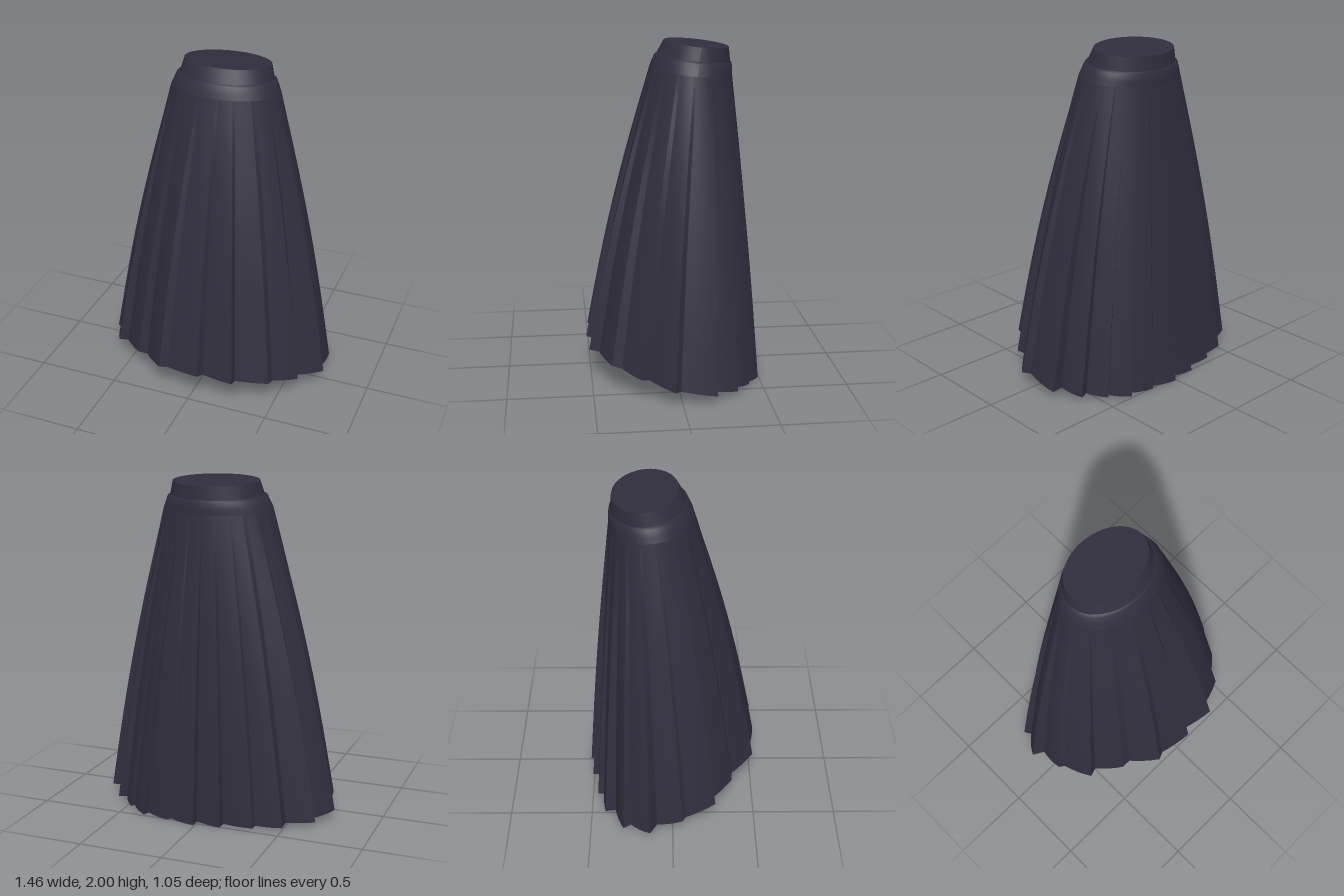
import * as THREE from 'three';

// Hem of each knife pleat seen from above: outer edge x, z then inner edge x, z
const PLEATS = [
  [0.01, -0.53, 0.165, -0.49], [0.185, -0.51, 0.325, -0.463], [0.342, -0.494, 0.445, -0.404],
  [0.463, -0.42, 0.54, -0.315], [0.588, -0.333, 0.625, -0.192], [0.694, -0.2, 0.69, 0.012],
  [0.727, 0.047, 0.596, 0.18], [0.616, 0.228, 0.488, 0.333], [0.48, 0.39, 0.29, 0.455],
  [0.29, 0.515, 0.09, 0.475], [0.072, 0.524, -0.133, 0.486], [-0.184, 0.508, -0.325, 0.369],
  [-0.384, 0.369, -0.518, 0.24], [-0.572, 0.26, -0.643, 0.08], [-0.675, 0.057, -0.67, -0.095],
  [-0.737, -0.137, -0.643, -0.255], [-0.667, -0.3, -0.502, -0.353], [-0.502, -0.415, -0.341, -0.431],
  [-0.337, -0.467, -0.155, -0.463], [-0.149, -0.51, 0.005, -0.48],
];

// Waist rings from the top down: height, x radius, z radius, z centre
const BAND = [[2.0, 0.26, 0.19, -0.152], [1.92, 0.28, 0.215, -0.135]];
const YOKE = [[1.92, 0.28, 0.215, -0.135], [1.91, 0.298, 0.226, -0.133], [1.87, 0.315, 0.236, -0.126], [1.84, 0.328, 0.242, -0.12]];
const CAP = [[2.0, 0, 0, -0.152], BAND[0]];

function ringPoint([y, rx, rz, cz], a) {
  const z = cz + rz * Math.sin(a);
  return [0.008 + rx * Math.cos(a), y + 0.1 * (z - 0.04), z];
}

// Smooth patch from point(column, row), rows running downwards
function patch(cols, rows, point) {
  const pos = [], index = [];
  for (let i = 0; i <= cols; i++) {
    for (let j = 0; j <= rows; j++) {
      pos.push(...point(i, j));
      if (i < cols && j < rows) {
        const u = i * (rows + 1) + j, v = u + rows + 1;
        index.push(u + 1, u, v, u + 1, v, v + 1);
      }
    }
  }
  const g = new THREE.BufferGeometry();
  g.setAttribute('position', new THREE.Float32BufferAttribute(pos, 3));
  g.setIndex(index);
  g.computeVertexNormals();
  return g;
}

// Point on the pleated cloth above hem position (x, z); t runs from yoke to hem
function clothPoint(x, z, t) {
  const top = ringPoint(YOKE[YOKE.length - 1], Math.atan2(z / 0.52, x / 0.72));
  const hemY = 0.085 + 0.195 * z + 0.075 * z * z;
  const f = t + 0.07 * Math.sin(Math.PI * t);
  return [
    top[0] + (x - top[0]) * f,
    top[1] + (hemY - top[1]) * t,
    top[2] + (z - top[2]) * f,
  ];
}

// Strip of cloth between two hem points, bowed slightly outwards
function strip(x0, z0, x1, z1, cols, bow) {
  const rows = 12;
  return patch(cols, rows, (i, j) => {
    const s = i / cols, k = 1 + bow * 4 * s * (1 - s);
    return clothPoint((x0 + (x1 - x0) * s) * k, (z0 + (z1 - z0) * s) * k, j / rows);
  });
}

export function createModel() {
  const group = new THREE.Group();
  group.name = 'pleatedSkirt';
  const cloth = new THREE.MeshStandardMaterial({ color: 0x302e3d, side: THREE.DoubleSide });
  cloth.name = 'dark cloth';

  const add = (name, geometry, parent = group) => {
    const mesh = new THREE.Mesh(geometry, cloth);
    mesh.name = name;
    parent.add(mesh);
  };

  // Waist: closed top, band and yoke
  const rings = (list) => patch(40, list.length - 1, (i, j) => ringPoint(list[j], (i / 40) * Math.PI * 2));
  add('waistTop', rings(CAP));
  add('waistBand', rings(BAND));
  add('yoke', rings(YOKE));

  // Pleats: a broad panel, then a narrow fold out to the next one
  const pleats = new THREE.Group();
  pleats.name = 'pleats';
  group.add(pleats);
  PLEATS.forEach(([x0, z0, x1, z1], i) => {
    const [x2, z2] = PLEATS[(i + 1) % PLEATS.length];
    add('pleatPanel', strip(x0, z0, x1, z1, 4, 0.012), pleats);
    add('pleatFold', strip(x1, z1, x2, z2, 1, 0), pleats);
  });
  return group;
}
